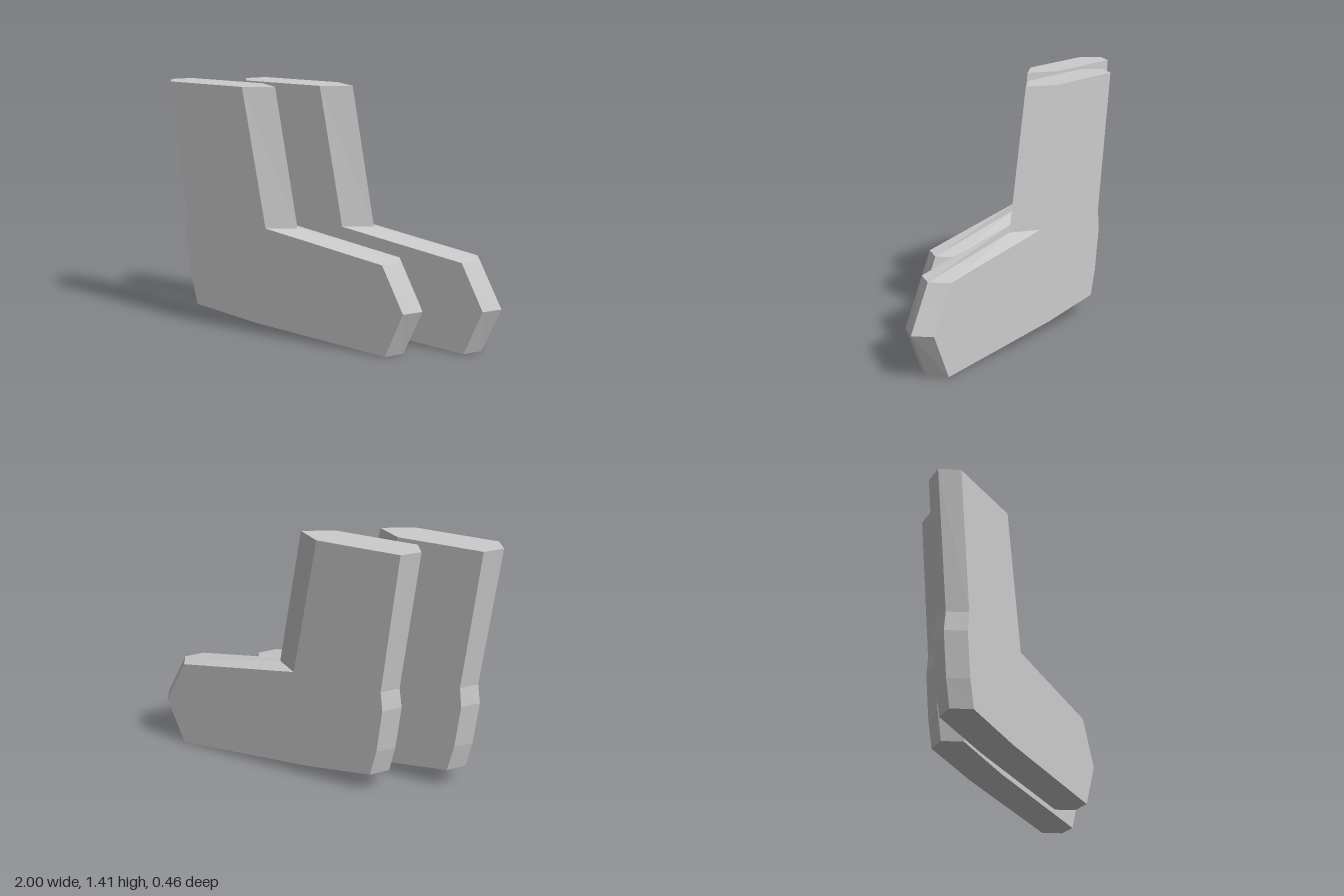
import * as THREE from 'three';

// Each row: height, x on the flat sides, x on the raised middle seam.
// Runs counter-clockwise: down the back, along the sole, round the toe, up the shin.
const OUTLINE = [
  [1.41, -0.93, -1.0],
  [0.62, -0.83, -0.893],
  [0.51, -0.842, -0.908],
  [0.26, -0.81, -0.876],
  [0.11, -0.772, -0.84],
  [0.06, -0.37, -0.37],
  [0.0, 0.482, 0.543],
  [0.255, 0.59, 0.655],
  [0.51, 0.46, 0.522],
  [0.622, -0.287, -0.138],
  [1.41, -0.434, -0.28],
];
const HALF_WIDTH = 0.1;
const SPACING_X = 0.345;
const SPACING_Z = 0.262;

function sockGeometry() {
  const n = OUTLINE.length;
  const positions = [];
  const index = [];

  // Three cross-sections: far side, middle seam, near side
  for (const [column, z] of [[1, -HALF_WIDTH], [2, 0], [1, HALF_WIDTH]]) {
    for (const row of OUTLINE) positions.push(row[column], row[0], z);
  }

  // Bevelled rim joining the sections
  for (let layer = 0; layer < 2; layer++) {
    for (let i = 0; i < n; i++) {
      const j = (i + 1) % n;
      const a = layer * n + i, b = layer * n + j;
      index.push(a, b, b + n, a, b + n, a + n);
    }
  }

  // Flat faces on both sides
  const contour = OUTLINE.map(([y, x]) => new THREE.Vector2(x, y));
  for (const [a, b, c] of THREE.ShapeUtils.triangulateShape(contour, [])) {
    index.push(2 * n + a, 2 * n + b, 2 * n + c);
    index.push(a, c, b);
  }

  const indexed = new THREE.BufferGeometry();
  indexed.setAttribute('position', new THREE.Float32BufferAttribute(positions, 3));
  indexed.setIndex(index);
  const geometry = indexed.toNonIndexed();
  geometry.computeVertexNormals();
  return geometry;
}

export function createModel() {
  const model = new THREE.Group();
  model.name = 'pairOfSocks';
  const geometry = sockGeometry();
  const material = new THREE.MeshStandardMaterial({ color: 0xcccccc, flatShading: true });

  // Two identical socks, the rear one stepped toward the toe
  [['frontSock', 0, 1], ['rearSock', SPACING_X, -1]].forEach(([name, x, side]) => {
    const sock = new THREE.Mesh(geometry, material);
    sock.name = name;
    sock.position.set(x, 0, side * SPACING_Z / 2);
    model.add(sock);
  });
  return model;
}
